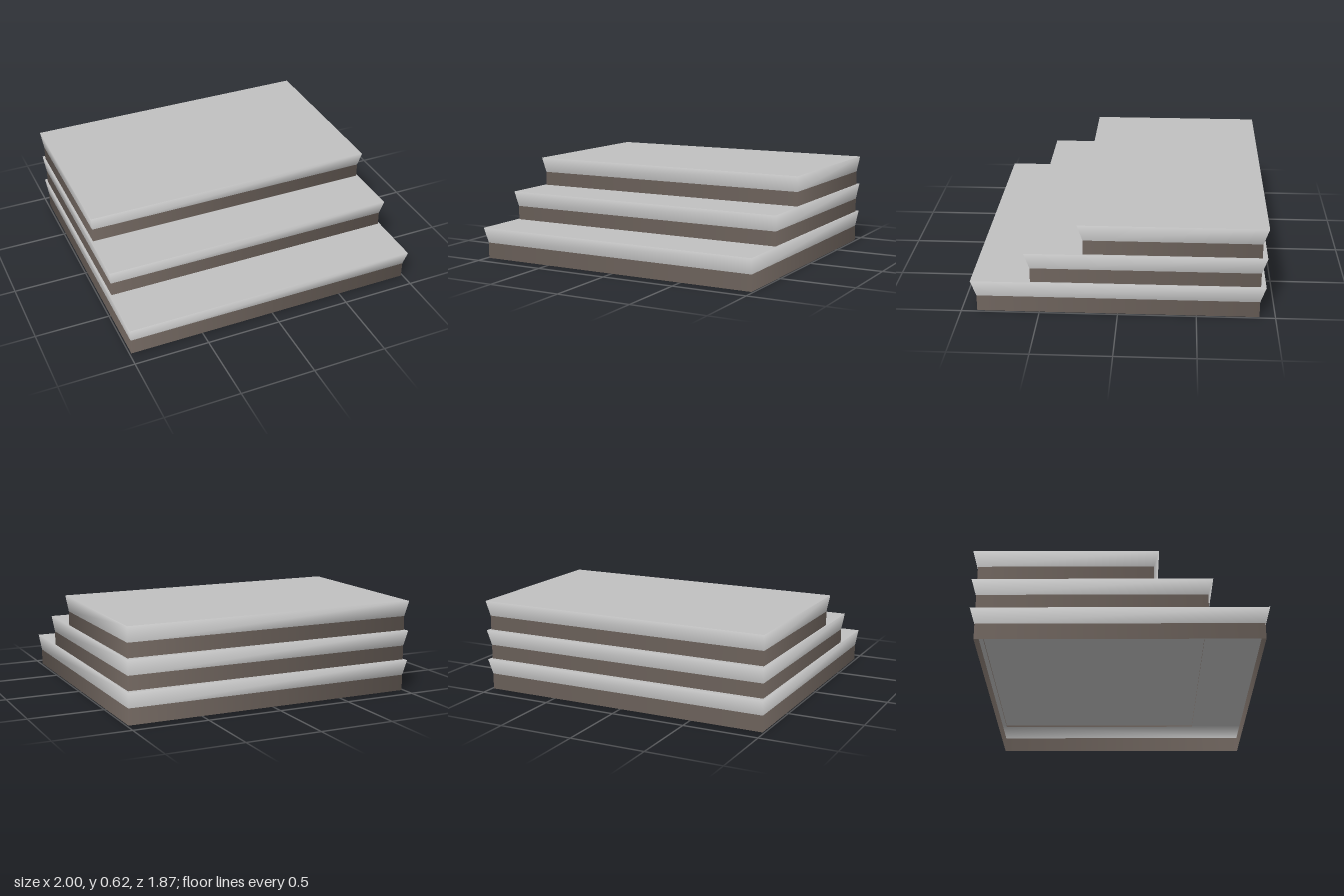
import * as THREE from 'three';

const stone = new THREE.MeshStandardMaterial({ color: 0xc0c0c0, side: THREE.DoubleSide });
stone.name = 'light grey stone';
const base = new THREE.MeshStandardMaterial({ color: 0x736861, side: THREE.DoubleSide });
base.name = 'brown riser';

const BACK = -0.933, HEIGHT = 0.214, SEAM = 0.107, PITCH = 0.202;
const INSET_X = 0.012, INSET_Z = 0.034;

// Four-sided band between two rectangular rings, with normals softened round the corners.
// Each ring is { y, x, front, back, lift }, lift being the upward tilt of its normals.
function band(lower, upper) {
  const pos = [], nor = [], index = [];
  for (const r of [lower, upper]) {
    for (const [sx, sz] of [[-1, 1], [1, 1], [1, -1], [-1, -1]]) {
      pos.push(sx * r.x, r.y, sz > 0 ? r.front : r.back);
      nor.push(...new THREE.Vector3(sx, r.lift, sz).normalize().toArray());
    }
  }
  for (let i = 0; i < 4; i++) {
    const j = (i + 1) % 4;
    index.push(i, j, j + 4, i, j + 4, i + 4);
  }
  const g = new THREE.BufferGeometry();
  g.setAttribute('position', new THREE.Float32BufferAttribute(pos, 3));
  g.setAttribute('normal', new THREE.Float32BufferAttribute(nor, 3));
  g.setIndex(index);
  return g;
}

function part(name, geometry, material) {
  const mesh = new THREE.Mesh(geometry, material);
  mesh.name = name;
  return mesh;
}

// One hollow step: upright riser, flared moulding and flat tread, open underneath
function createStep(front) {
  const step = new THREE.Group();
  const inner = { x: 1 - INSET_X, front: front - INSET_Z, back: BACK + INSET_Z, lift: 0 };
  const foot = { ...inner, y: 0 };
  const seam = { ...inner, y: SEAM };
  const rim = { x: 1, front, back: BACK, y: HEIGHT, lift: 4 };

  step.add(part('riser', band(foot, seam), base));
  step.add(part('flaredMoulding', band(seam, rim), stone));

  const tread = part('tread', new THREE.PlaneGeometry(2, front - BACK).rotateX(-Math.PI / 2), stone);
  tread.position.set(0, HEIGHT, (front + BACK) / 2);
  step.add(tread);
  return step;
}

export function createModel() {
  const model = new THREE.Group();
  model.name = 'steps';
  // Steps share a back edge and grow shallower upward
  [0.933, 0.587, 0.25].forEach((front, i) => {
    const step = createStep(front);
    step.name = ['lowerStep', 'middleStep', 'upperStep'][i];
    step.position.y = i * PITCH;
    model.add(step);
  });
  return model;
}
